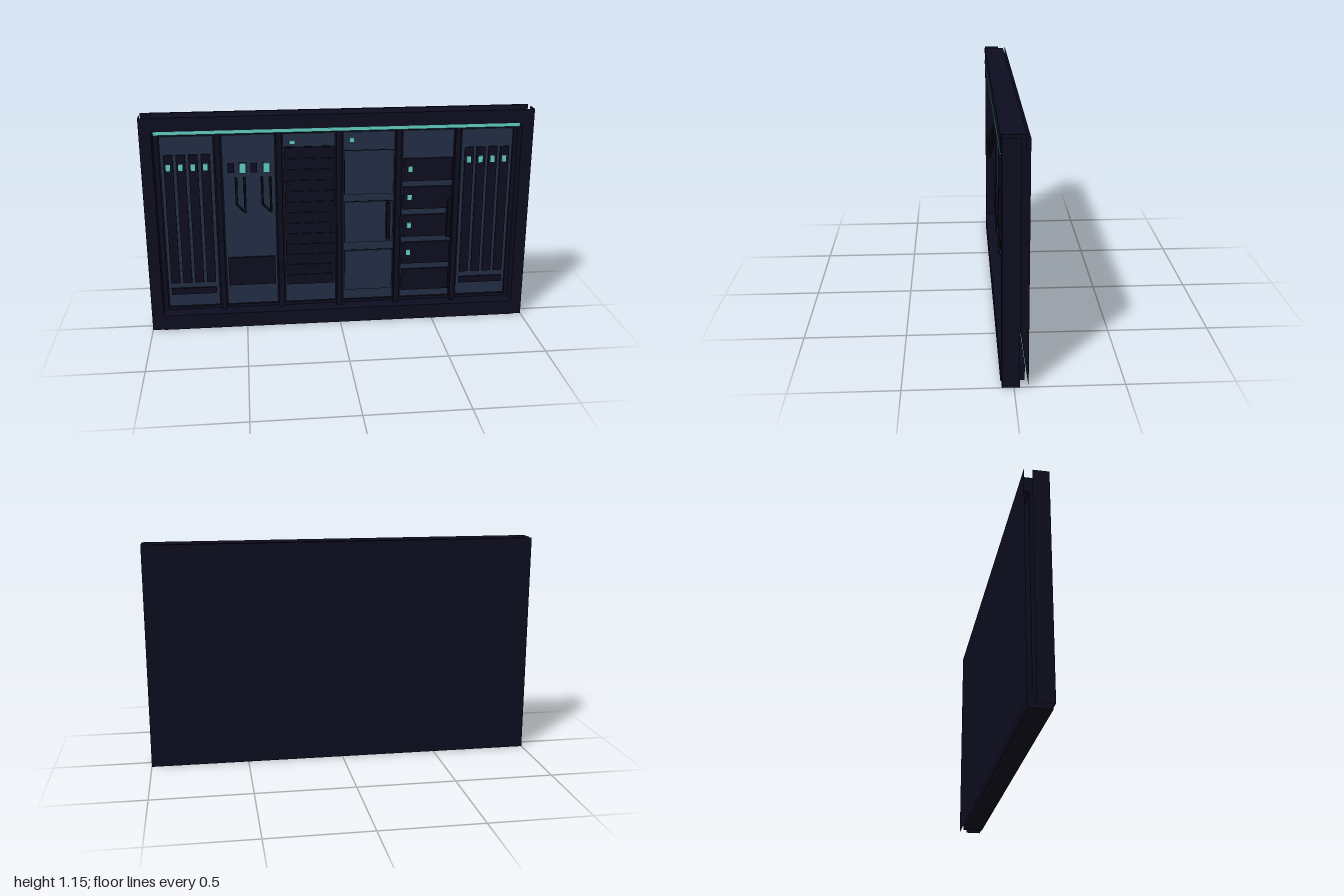
import * as THREE from 'three';

const mat = (name, color, side = THREE.FrontSide) => {
  const m = new THREE.MeshStandardMaterial({ color, side });
  m.name = name;
  return m;
};

export function createModel() {
  const frame = mat('frameNavy', 0x0d0d20, THREE.DoubleSide);
  const panel = mat('panelBlue', 0x243048);
  const dark = mat('insetNavy', 0x0d0d20);
  const seam = mat('seamBlack', 0x090a16);
  const teal = mat('lightTeal', 0x64d4c6);

  const root = new THREE.Group();
  root.name = 'wallUnit';

  // Box given by its limits on each axis
  const box = (parent, name, m, x0, x1, y0, y1, z0, z1) => {
    const mesh = new THREE.Mesh(new THREE.BoxGeometry(x1 - x0, y1 - y0, z1 - z0), m);
    mesh.position.set((x0 + x1) / 2, (y0 + y1) / 2, (z0 + z1) / 2);
    mesh.name = name;
    parent.add(mesh);
    return mesh;
  };
  const plane = (parent, name, m, w, h, x, y, z, turn = 0) => {
    const mesh = new THREE.Mesh(new THREE.PlaneGeometry(w, h), m);
    mesh.position.set(x, y, z);
    mesh.rotation.y = turn;
    mesh.name = name;
    parent.add(mesh);
  };
  // Round bar between two points
  const bar = (parent, name, m, a, b, r) => {
    const p = new THREE.Vector3(...a), q = new THREE.Vector3(...b);
    const mesh = new THREE.Mesh(new THREE.CylinderGeometry(r, r, p.distanceTo(q), 8), m);
    mesh.position.copy(p).lerp(q, 0.5);
    mesh.quaternion.setFromUnitVectors(new THREE.Vector3(0, 1, 0), q.sub(p).normalize());
    mesh.name = name;
    parent.add(mesh);
  };

  // Outer shell: back sheet, beams and open-ended side columns
  plane(root, 'backSheet', frame, 2, 1.15, 0, 0.575, -0.065);
  box(root, 'topBeam', frame, -0.94, 0.94, 1.07, 1.15, -0.052, 0.058);
  box(root, 'bottomBeam', frame, -0.94, 0.94, 0, 0.08, -0.052, 0.058);
  for (const s of [-1, 1]) {
    const column = new THREE.Group();
    column.name = s > 0 ? 'leftColumn' : 'rightColumn';
    plane(column, 'columnFront', frame, 0.06, 1.15, s * 0.97, 0.575, 0.054);
    plane(column, 'columnOuter', frame, 0.08, 1.15, s, 0.575, 0.014, s * Math.PI / 2);
    plane(column, 'columnInner', frame, 0.08, 1.15, s * 0.94, 0.575, 0.014, -s * Math.PI / 2);
    root.add(column);
  }
  box(root, 'recessWall', dark, -0.94, 0.94, 0.08, 1.07, -0.03, -0.02);
  box(root, 'lightStrip', teal, -0.93, 0.925, 1.062, 1.08, 0.05, 0.0595);

  // Six bays with dividers between them
  const bays = [];
  for (let i = 0; i < 6; i++) {
    const g = new THREE.Group();
    g.name = 'bay' + (i + 1);
    g.position.x = -0.775 + i * 0.31;
    box(g, 'bayRim', seam, -0.142, 0.142, 0.1, 1.05, -0.02, -0.008);
    box(g, 'bayPanel', panel, -0.134, 0.134, 0.11, 1.04, -0.02, 0);
    root.add(g);
    bays.push(g);
    if (i) box(root, 'divider', dark, -0.93 + i * 0.31 - 0.014, -0.93 + i * 0.31 + 0.014, 0.08, 1.07, -0.02, 0.008);
  }
  const light = (g, x, y, w, h) =>
    box(g, 'indicatorLight', teal, x - w / 2, x + w / 2, y - h / 2, y + h / 2, 0.005, 0.013);

  // Bays 1 and 6: upright slots with lights and a lower bar
  for (const g of [bays[0], bays[5]]) {
    for (let k = 0; k < 4; k++) {
      const x = -0.094 + k * 0.0625;
      box(g, 'uprightSlot', dark, x - 0.0235, x + 0.0235, 0.245, 0.945, -0.005, 0.008);
      light(g, x - 0.002, 0.88, 0.022, 0.034);
    }
    box(g, 'lowerBar', dark, -0.118, 0.118, 0.18, 0.215, -0.005, 0.01);
  }

  // Bay 2: sockets, screens, hanging hoses and a bin
  const b2 = bays[1];
  for (const x of [-0.091, 0.026]) box(b2, 'socket', dark, x - 0.017, x + 0.017, 0.843, 0.892, 0, 0.008);
  for (const x of [-0.032, 0.09]) {
    box(b2, 'screenSurround', dark, x - 0.02, x + 0.02, 0.84, 0.895, 0, 0.007);
    light(b2, x, 0.868, 0.03, 0.05);
  }
  for (const x of [-0.067, 0.065]) {
    const pts = [[x, 0.82, 0.01], [x, 0.69, 0.059], [x + 0.043, 0.642, 0.053], [x + 0.043, 0.82, 0.01]];
    for (let k = 0; k < 3; k++) bar(b2, 'hose', seam, pts[k], pts[k + 1], 0.006);
  }
  box(b2, 'bin', dark, -0.123, 0.123, 0.222, 0.378, 0, 0.012);

  // Bay 3: louvred grille
  const b3 = bays[2];
  box(b3, 'grilleBack', seam, -0.129, 0.129, 0.21, 0.972, 0, 0.004);
  for (let k = 0; k < 13; k++) {
    const y = 0.212 + k * 0.0585;
    box(b3, 'grilleSlat', dark, -0.128, 0.128, y, y + 0.054, 0, 0.009);
  }
  light(b3, -0.086, 0.996, 0.03, 0.02);

  // Bay 4: three door panels and a pull
  const b4 = bays[3];
  for (const [y0, y1] of [[0.707, 0.943], [0.439, 0.665], [0.165, 0.392]]) {
    box(b4, 'doorSeam', seam, -0.129, 0.129, y0 - 0.002, y1 + 0.002, -0.002, 0.003);
    box(b4, 'doorPanel', panel, -0.126, 0.126, y0 + 0.001, y1 - 0.001, 0, 0.008);
  }
  box(b4, 'pullHandle', seam, 0.091, 0.112, 0.457, 0.662, 0, 0.032);
  light(b4, -0.091, 1.0, 0.025, 0.025);

  // Bay 5: drawer stack and a pull
  const b5 = bays[4];
  for (let k = 0; k < 5; k++) {
    const y = 0.893 - k * 0.155;
    box(b5, 'drawer', dark, -0.129, 0.129, y - 0.123, y, 0, 0.009);
    if (k < 4) light(b5, -0.094, y - 0.057, 0.022, 0.028);
  }
  box(b5, 'pullHandle', seam, 0.107, 0.128, 0.457, 0.662, 0, 0.032);

  return root;
}
